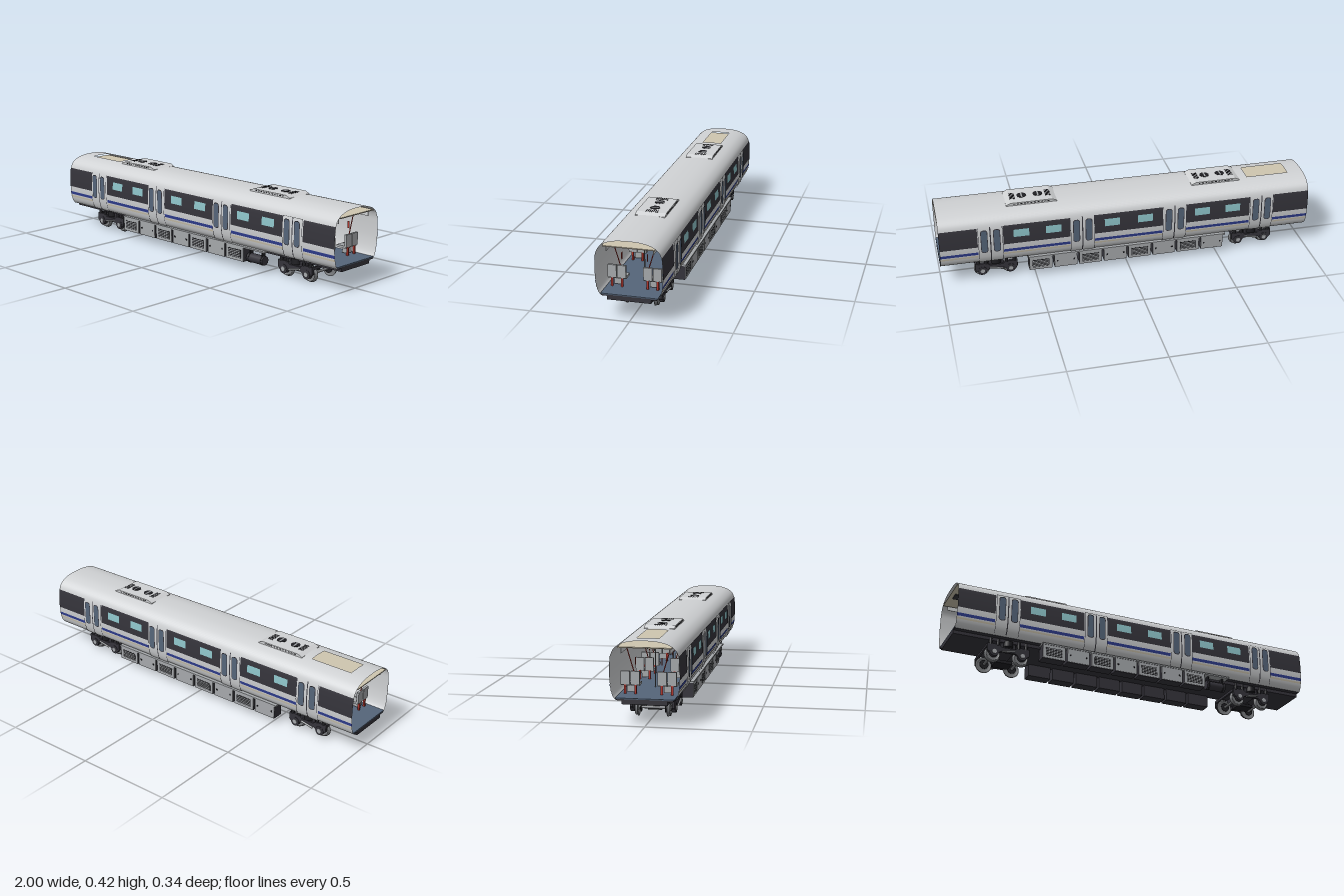
import * as THREE from 'three';

const paint = (name, color) => new THREE.MeshStandardMaterial({ name, color, side: THREE.DoubleSide });
const silver = paint('silver', 0xd0d2d4), dark = paint('charcoal', 0x35343b), black = paint('black', 0x1f1f23);
const grey = paint('equipment grey', 0xa6a9ac), steel = paint('steel', 0x76787b), cyan = paint('pane cyan', 0x8fc6cb);
const slate = paint('slate', 0x55657a), blue = paint('stripe blue', 0x2f3d90), cream = paint('cream', 0xcfc6b0);
const red = paint('red', 0xb0342b);

function add(parent, name, geo, mat, x = 0, y = 0, z = 0) {
  const m = new THREE.Mesh(geo, mat);
  m.name = name;
  m.position.set(x, y, z);
  parent.add(m);
  return m;
}
// box given by its extents
const box = (p, name, mat, x0, x1, y0, y1, z0, z1) =>
  add(p, name, new THREE.BoxGeometry(x1 - x0, y1 - y0, z1 - z0), mat, (x0 + x1) / 2, (y0 + y1) / 2, (z0 + z1) / 2);
function cyl(p, name, mat, r, len, axis, x, y, z, sides = 20) {
  const g = new THREE.CylinderGeometry(r, r, len, sides);
  if (axis === 'x') g.rotateZ(Math.PI / 2);
  if (axis === 'z') g.rotateX(Math.PI / 2);
  return add(p, name, g, mat, x, y, z);
}
function group(parent, name, x = 0, y = 0, z = 0) {
  const g = new THREE.Group();
  g.name = name;
  g.position.set(x, y, z);
  parent.add(g);
  return g;
}
function rod(p, name, mat, r, a, b) {
  return add(p, name, new THREE.TubeGeometry(new THREE.LineCurve3(new THREE.Vector3(...a), new THREE.Vector3(...b)), 1, r, 8), mat);
}

// body cross-section (z, y), from the lower front edge over the roof to the back
const half = [[0.136, 0.122], [0.15, 0.14], [0.159, 0.17], [0.164, 0.21], [0.165, 0.25], [0.163, 0.3],
  [0.159, 0.335], [0.147, 0.362], [0.122, 0.383], [0.09, 0.395], [0.05, 0.402]];
const section = new THREE.SplineCurve([...half, [0, 0.404], ...half.slice().reverse().map(([z, y]) => [-z, y])]
  .map(([z, y]) => new THREE.Vector2(z, y)));
function find(test) {
  let a = 0, b = 0.5;
  for (let i = 0; i < 30; i++) {
    const m = (a + b) / 2;
    if (test(section.getPoint(m))) a = m; else b = m;
  }
  return a;
}
const atY = y => find(p => p.y < y);

// curved sheet that follows the cross-section
function skin(parent, name, mat, x0, x1, t0, t1, off = 0, n = 8) {
  const pos = [], nor = [], idx = [];
  for (let i = 0; i <= n; i++) {
    const t = t0 + (t1 - t0) * i / n, p = section.getPoint(t), d = section.getTangent(t);
    for (const x of [x0, x1]) {
      pos.push(x, p.y - d.x * off, p.x + d.y * off);
      nor.push(0, -d.x, d.y);
    }
    if (i < n) idx.push(2 * i, 2 * i + 1, 2 * i + 3, 2 * i, 2 * i + 3, 2 * i + 2);
  }
  const g = new THREE.BufferGeometry();
  g.setAttribute('position', new THREE.Float32BufferAttribute(pos, 3));
  g.setAttribute('normal', new THREE.Float32BufferAttribute(nor, 3));
  g.setIndex(idx);
  return add(parent, name, g, mat);
}

function roundedPane(w, h, r) {
  const s = new THREE.Shape(), c = Math.PI / 2;
  [[1, 1], [-1, 1], [-1, -1], [1, -1]].forEach(([sx, sy], i) =>
    s.absarc(sx * (w / 2 - r), sy * (h / 2 - r), r, i * c, (i + 1) * c, false));
  return new THREE.ShapeGeometry(s, 5);
}

function makeSide(parent) {
  const side = group(parent, 'bodySide');
  const band = (name, mat, x0, x1, y0, y1, off) => skin(side, name, mat, x0, x1, atY(y0), atY(y1), off);
  for (const [a, b] of [[-1, -0.802], [-0.668, -0.316], [-0.185, 0.185], [0.316, 0.668], [0.802, 1]]) {
    band('windowBand', dark, a, b, 0.227, 0.335, 0.0015);
    band('blueStripe', blue, a, b, 0.18, 0.196, 0.0015);
    band('creamStripe', cream, a, b, 0.164, 0.173, 0.0015);
  }
  for (const x of [-0.573, -0.403, -0.09, 0.09, 0.403, 0.573]) band('windowPane', cyan, x - 0.041, x + 0.041, 0.265, 0.307, 0.003);
  // double doors with rounded windows
  for (const x of [-0.735, -0.25, 0.25, 0.735]) {
    band('doorSeal', dark, x - 0.003, x + 0.003, 0.13, 0.337, 0.004);
    for (const s of [-1, 1]) {
      const c = x + s * 0.033;
      band('doorLeaf', silver, c - 0.03, c + 0.03, 0.128, 0.338, 0.005);
      band('doorEdge', dark, x + s * 0.063 - 0.0012, x + s * 0.063 + 0.0012, 0.13, 0.337, 0.0055);
      add(side, 'doorWindowFrame', roundedPane(0.037, 0.134, 0.014), dark, c, 0.26, 0.1715);
      add(side, 'doorWindow', roundedPane(0.03, 0.126, 0.012), slate, c, 0.26, 0.1725);
    }
  }
  return side;
}

// underfloor cabinets along one side
function makeCabinets(parent, count) {
  const g = group(parent, 'underfloorCabinets');
  box(g, 'cabinetRail', grey, -0.54, 0.54, 0.115, 0.123, 0.1, 0.156);
  for (let i = 0; i < count; i++) {
    const x = -0.475 + i * 0.1345;
    box(g, 'cabinet', dark, x - 0.061, x + 0.061, 0.04, 0.115, 0.09, 0.15);
    box(g, 'cabinetDoor', grey, x - 0.061, x + 0.061, 0.042, 0.115, 0.15, 0.153);
    if (i % 2 === 0) {
      box(g, 'louvrePanel', black, x - 0.045, x + 0.045, 0.055, 0.1, 0.153, 0.154);
      for (let k = 0; k < 5; k++) box(g, 'louvreSlat', grey, x - 0.043, x + 0.043, 0.058 + k * 0.0085, 0.062 + k * 0.0085, 0.154, 0.156);
    } else for (const s of [-1, 1]) box(g, 'cabinetLatch', black, x + s * 0.045 - 0.004, x + s * 0.045 + 0.004, 0.076, 0.084, 0.153, 0.155);
  }
  return g;
}

function makeBogie(parent, x) {
  const b = group(parent, 'bogie', x);
  const rim = [[0.006, -0.007], [0.014, -0.007], [0.016, -0.003], [0.032, -0.003], [0.034, -0.008], [0.043, -0.008],
    [0.043, -0.005], [0.039, -0.003], [0.038, 0.007], [0.032, 0.007], [0.03, 0.002], [0.016, 0.002], [0.014, 0.007], [0.006, 0.007]];
  const wheel = new THREE.LatheGeometry(rim.map(p => new THREE.Vector2(...p)), 28).rotateX(Math.PI / 2);
  const frame = new THREE.Shape([[-0.112, 0.05], [-0.112, 0.088], [-0.05, 0.088], [-0.035, 0.075], [0.035, 0.075], [0.05, 0.088],
    [0.112, 0.088], [0.112, 0.05], [0.1, 0.04], [0.055, 0.04], [0.04, 0.052], [-0.04, 0.052], [-0.055, 0.04], [-0.1, 0.04]]
    .map(p => new THREE.Vector2(...p)));
  const frameGeo = new THREE.ExtrudeGeometry(frame, { depth: 0.014, bevelEnabled: false });
  box(b, 'bolster', dark, -0.04, 0.04, 0.07, 0.108, -0.1, 0.1);
  box(b, 'motor', black, -0.045, 0.045, 0.024, 0.04, -0.035, 0.035);
  for (const e of [-1, 1]) {
    box(b, 'endBeam', dark, e * 0.108 - 0.005, e * 0.108 + 0.005, 0.074, 0.088, -0.1, 0.1);
    cyl(b, 'axle', steel, 0.007, 0.2, 'z', e * 0.075, 0.043, 0);
    for (const s of [-1, 1]) {
      const w = add(b, 'wheel', wheel, steel, e * 0.075, 0.043, s * 0.078);
      if (s < 0) w.rotation.y = Math.PI;
      cyl(b, 'brakeDisc', black, 0.024, 0.003, 'z', e * 0.075, 0.043, s * 0.06);
      cyl(b, 'axleBox', dark, 0.024, 0.02, 'z', e * 0.075, 0.045, s * 0.101);
      cyl(b, 'axleCap', grey, 0.012, 0.004, 'z', e * 0.075, 0.045, s * 0.112);
      for (const k of [-1, 1]) cyl(b, 'spring', black, 0.009, 0.036, 'y', e * 0.075 + k * 0.02, 0.1, s * 0.102, 12);
    }
  }
  for (const s of [-1, 1]) {
    add(b, 'sideFrame', frameGeo, dark, 0, 0, s * 0.102 - 0.007);
    cyl(b, 'airSpring', black, 0.026, 0.03, 'y', 0, 0.098, s * 0.095);
    rod(b, 'damper', grey, 0.005, [-0.035, 0.05, s * 0.114], [0.035, 0.064, s * 0.114]);
  }
}

function makeRoofUnit(parent, x) {
  const u = group(parent, 'roofUnit', x);
  const s = new THREE.Shape([[-0.135, 0.399], [0.135, 0.399], [0.135, 0.403], [0.11, 0.414], [-0.11, 0.414], [-0.135, 0.403]].map(p => new THREE.Vector2(...p)));
  add(u, 'unitCasing', new THREE.ExtrudeGeometry(s, { depth: 0.152, bevelEnabled: false }), silver, 0, 0, -0.076);
  for (const e of [-1, 1]) {
    for (const k of [-1, 1]) box(u, 'mountingFoot', black, e * 0.1 - 0.01, e * 0.1 + 0.01, 0.394, 0.4, k * 0.06 - 0.007, k * 0.06 + 0.007);
    cyl(u, 'fan', black, 0.025, 0.002, 'y', e * 0.043, 0.4145, 0);
    box(u, 'fanBar', grey, e * 0.043 - 0.004, e * 0.043 + 0.004, 0.4152, 0.416, -0.024, 0.024);
    for (let k = -3; k <= 3; k++) box(u, 'ventSlot', black, e * 0.094 - 0.014, e * 0.094 + 0.014, 0.413, 0.415, k * 0.0095 - 0.0025, k * 0.0095 + 0.0025);
    for (let k = -5; k <= 5; k++) box(u, 'sideVent', black, k * 0.018 - 0.005, k * 0.018 + 0.005, 0.405, 0.409, e * 0.0765 - 0.001, e * 0.0765 + 0.001);
  }
}

function makeSeats(parent, x, face) {
  const g = group(parent, 'seatRow', x);
  for (const s of [-1, 1]) {
    for (const z of [0.0645, 0.1115]) {
      box(g, 'seatBack', grey, -0.006, 0.006, 0.177, 0.242, s * z - 0.0215, s * z + 0.0215);
      box(g, 'seatCushion', grey, face * 0.028 - 0.028, face * 0.028 + 0.028, 0.172, 0.184, s * z - 0.0215, s * z + 0.0215);
    }
    box(g, 'seatPedestal', grey, face * 0.025 - 0.015, face * 0.025 + 0.015, 0.14, 0.172, s * 0.088 - 0.018, s * 0.088 + 0.018);
    for (const z of [0.063, 0.113]) box(g, 'seatLeg', red, -0.005, 0.005, 0.133, 0.177, s * z - 0.005, s * z + 0.005);
    rod(g, 'grabPole', red, 0.0025, [0, 0.24, s * 0.07], [0, 0.35, s * 0.103]);
    box(g, 'hangingHandle', red, -0.006, 0.006, 0.273, 0.308, s * 0.063 - 0.001, s * 0.063 + 0.001);
  }
}

export function createModel() {
  const car = new THREE.Group();
  car.name = 'railCarriage';

  // shell, with a rectangular opening in the roof
  const hole = find(p => p.x > 0.053);
  skin(car, 'frontShell', silver, -1, 1, 0, hole, 0, 40);
  skin(car, 'backShell', silver, -1, 1, 1 - hole, 1, 0, 40);
  skin(car, 'roofEnd', silver, -1, -0.913, hole, 1 - hole);
  skin(car, 'roof', silver, -0.682, 1, hole, 1 - hole);
  makeSide(car);
  makeSide(car).rotation.y = Math.PI;
  for (const x of [-0.5, 0.5]) makeRoofUnit(car, x);

  // floor and underframe
  box(car, 'floor', slate, -1, 1, 0.128, 0.133, -0.14, 0.14);
  box(car, 'floorUnderside', dark, -1, 1, 0.122, 0.128, -0.135, 0.135);
  box(car, 'underframe', dark, -1, 1, 0.104, 0.122, -0.108, 0.108);
  makeCabinets(car, 7);
  makeCabinets(car, 8).rotation.y = Math.PI;
  cyl(car, 'airTank', dark, 0.024, 0.11, 'x', 0.467, 0.066, 0.126);
  for (const x of [0.425, 0.509]) {
    cyl(car, 'tankStrap', black, 0.026, 0.008, 'x', x, 0.066, 0.126);
    box(car, 'tankHanger', black, x - 0.004, x + 0.004, 0.085, 0.116, 0.115, 0.137);
  }
  for (const x of [-0.706, 0.706]) makeBogie(car, x);

  // interior
  box(car, 'ceiling', cream, -1, 1, 0.369, 0.374, -0.127, 0.127);
  box(car, 'ceilingRail', dark, -0.98, 0.98, 0.365, 0.369, -0.027, 0.027);
  for (const s of [-1, 1]) box(car, 'sideRack', silver, -0.98, 0.98, 0.34, 0.363, s * 0.114 - 0.0015, s * 0.114 + 0.0015);
  for (const x of [-0.9, -0.56, -0.42, -0.09, 0.09, 0.42, 0.56, 0.9]) makeSeats(car, x, x > 0 ? -1 : 1);
  for (const x of [-0.735, -0.25, 0.25, 0.735]) cyl(car, 'centrePole', steel, 0.003, 0.234, 'y', x, 0.25, 0, 10);
  return car;
}
